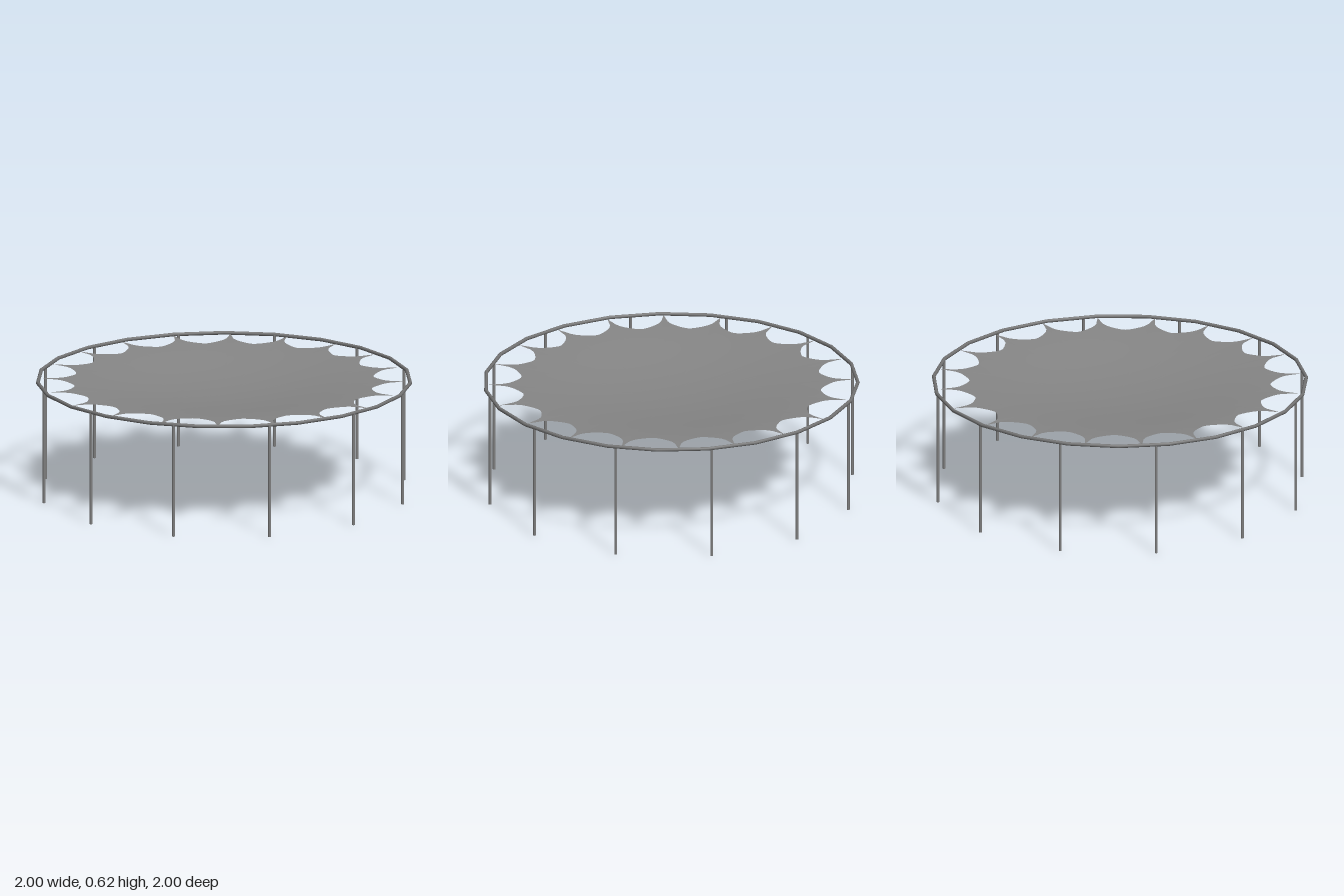
import * as THREE from 'three';

const TIPS = 20;        // pointed corners of the fabric
const STEPS = 16;       // outline points per corner
const RINGS = 12;       // rings from centre to edge
const RIM_Y = 0.613;

// Scalloped outline: narrow valleys with soft shoulders rising to sharp tips
function edgeRadius(step) {
  const u = Math.abs(((step % STEPS) / STEPS) * 2 - 1); // 0 at a valley, 1 at a tip
  return 0.8 + 0.172 * (0.5 * u ** 1.6 + 0.5 * u ** 12);
}

// Sag depends only on the distance from the centre, so the sheet stays smooth
function sagHeight(r) {
  const t = (r / 0.972) ** 1.15;
  return 0.548 + 0.032 * (1 - Math.cos(Math.PI * t));
}

// Sagging fabric sheet made from scaled copies of the outline
function canopyGeometry() {
  const n = TIPS * STEPS;
  const pos = [0, sagHeight(0), 0];
  const index = [];
  for (let k = 1; k <= RINGS; k++) {
    for (let i = 0; i < n; i++) {
      const a = ((i + STEPS / 2) / n) * Math.PI * 2;
      const r = edgeRadius(i) * k / RINGS;
      pos.push(Math.cos(a) * r, sagHeight(r), Math.sin(a) * r);
    }
  }
  for (let i = 0; i < n; i++) {
    const j = (i + 1) % n;
    index.push(0, 1 + j, 1 + i);
    for (let k = 0; k < RINGS - 1; k++) {
      const a = 1 + k * n + i, b = 1 + k * n + j;
      index.push(a, b, b + n, a, b + n, a + n);
    }
  }
  const g = new THREE.BufferGeometry();
  g.setAttribute('position', new THREE.Float32BufferAttribute(pos, 3));
  g.setIndex(index);
  g.computeVertexNormals();
  return g;
}

export function createModel() {
  const group = new THREE.Group();
  const rimMaterial = new THREE.MeshStandardMaterial({ color: 0x747474 });
  const postMaterial = new THREE.MeshStandardMaterial({ color: 0x808080 });
  const fabric = new THREE.MeshStandardMaterial({ color: 0x868686, side: THREE.DoubleSide });

  const add = (name, geometry, material, x = 0, y = 0, z = 0) => {
    const mesh = new THREE.Mesh(geometry, material);
    mesh.name = name;
    mesh.position.set(x - 0.005, y, z);
    group.add(mesh);
  };

  // Tubular rim with 23 straight sections
  add('rim', new THREE.TorusGeometry(0.992, 0.01, 8, 23).rotateX(Math.PI / 2), rimMaterial, 0, RIM_Y);

  // Fabric stretched inside the rim
  add('canopy', canopyGeometry(), fabric);

  // Twelve upright posts, turned slightly off the axes
  const postGeometry = new THREE.CylinderGeometry(0.008, 0.008, RIM_Y, 8);
  for (let i = 0; i < 12; i++) {
    const a = (i / 12) * Math.PI * 2 - 0.022;
    add('post' + (i + 1), postGeometry, postMaterial, Math.cos(a) * 0.986, RIM_Y / 2, Math.sin(a) * 0.986);
  }
  return group;
}
